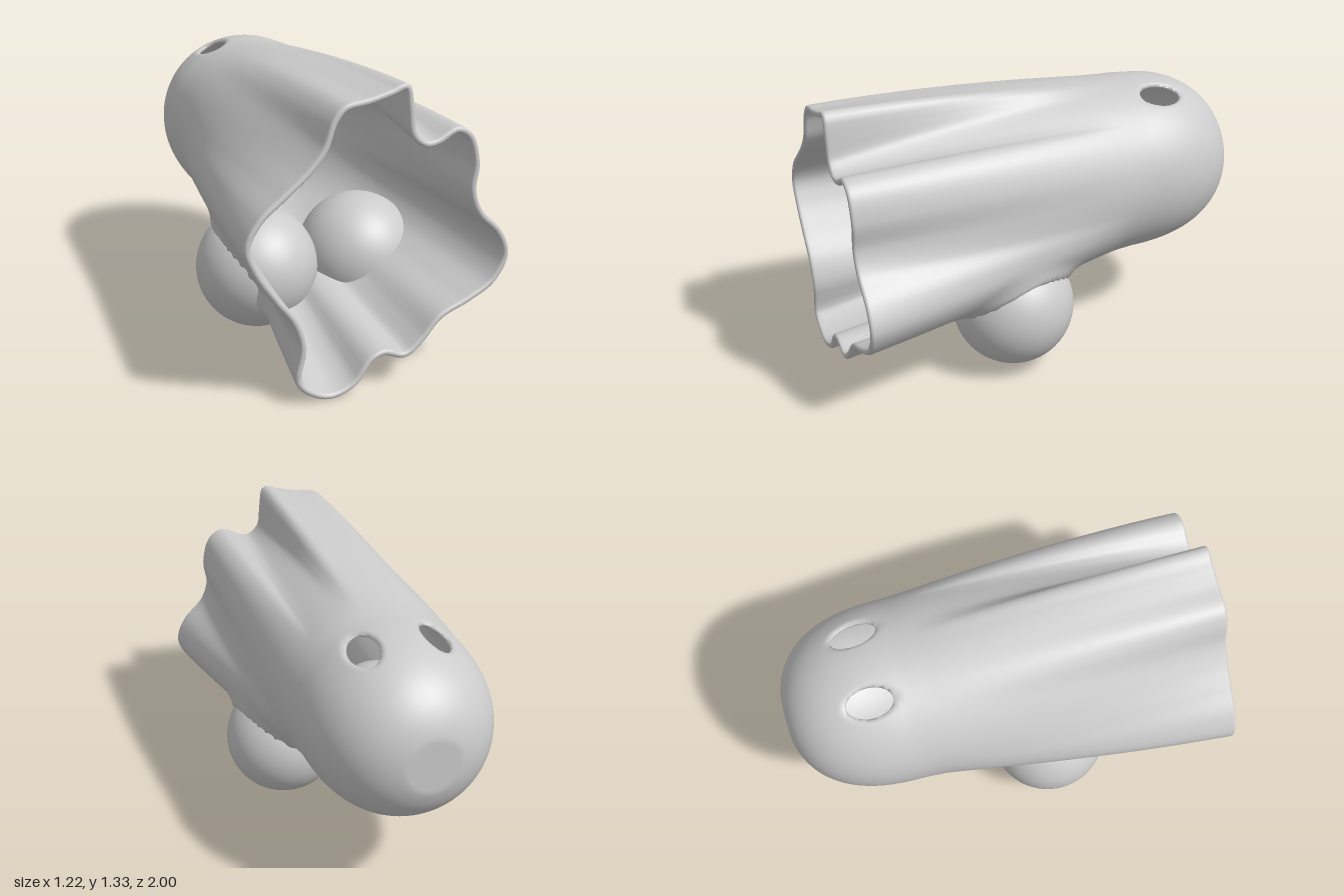
import * as THREE from 'three';
import { mergeVertices } from 'three/addons/utils/BufferGeometryUtils.js';

const CY = 0.81;        // height of the body axis
const HALF = 0.014;     // half the cloth thickness
const COLS = 240;
const BALLS = [[0.27, 0.31, 0.205], [-0.25, 0.31, 0.205]];
const BALL_R = 0.285;

// Wavy outline of the open hem, seen from the front
const HEM = [
  [.09, 1.333], [.02, 1.315], [-.08, 1.29], [-.19, 1.27], [-.235, 1.22], [-.28, 1.105], [-.35, 1.02],
  [-.455, .93], [-.56, .84], [-.613, .735], [-.58, .63], [-.49, .49], [-.40, .365], [-.365, .24],
  [-.387, .10], [-.33, .035], [-.23, 0], [-.12, .04], [-.05, .13], [.015, .155], [.12, .125],
  [.20, .18], [.29, .275], [.43, .335], [.55, .405], [.61, .52], [.57, .63], [.47, .735],
  [.43, .84], [.44, .965], [.40, 1.09], [.335, 1.125], [.25, 1.085], [.19, 1.08], [.13, 1.13], [.11, 1.245],
];

// Hem radius as a function of the angle from straight up towards +x
function makeHemRadius() {
  const curve = new THREE.CatmullRomCurve3(HEM.map(([x, y]) => new THREE.Vector3(x, y - CY, 0)), true);
  const polar = curve.getPoints(1500)
    .map((p) => [(Math.atan2(p.x, p.y) + 2 * Math.PI) % (2 * Math.PI), Math.hypot(p.x, p.y)])
    .sort((a, b) => a[0] - b[0]);
  return (angle) => {
    const a = (angle + 2 * Math.PI) % (2 * Math.PI);
    const k = polar.findIndex((p) => p[0] >= a);
    if (k <= 0) return polar[0][1];
    const [a0, r0] = polar[k - 1], [a1, r1] = polar[k];
    return r0 + (r1 - r0) * (a - a0) / Math.max(a1 - a0, 1e-6);
  };
}

// Round body radius: superelliptic dome, then a slightly flaring tube
function roundRadius(z) {
  if (z > -0.45) return 0.43 + 0.06 * (z + 0.45);
  const t = Math.min(1, (-0.45 - z) / 0.55);
  return 0.43 * Math.pow(1 - Math.pow(t, 2.5), 0.4);
}

// Eye holes as ellipses in angle and z
const eyes = [0.417, -0.417].map((angle) => ({ angle, z: -0.61, ha: 0.165, hz: 0.105 }));

function eyeDistance(eye, angle, z) {
  const da = Math.atan2(Math.sin(angle - eye.angle), Math.cos(angle - eye.angle));
  return { da, dz: z - eye.z, d: Math.hypot(da / eye.ha, (z - eye.z) / eye.hz) };
}

function makeCloth() {
  const hemRadius = makeHemRadius();
  const rows = [];
  for (let i = 0; i < 56; i++) {
    const phi = (1 - i / 56) * Math.PI / 2;
    rows.push(-0.45 - 0.55 * Math.pow(Math.sin(phi), 0.8));
  }
  for (let i = 0; i < 40; i++) rows.push(-0.45 + 1.42 * i / 39);
  for (const f of [1, 0.6, 0.3, 0.1, 0]) rows.push(1 - HALF * f);

  // Middle surface, with grid points inside an eye moved to its edge
  const mid = [], round = [], inside = [];
  for (const z0 of rows) {
    for (let j = 0; j < COLS; j++) {
      let angle = 2 * Math.PI * j / COLS, z = z0, nearest = Infinity, hole = false;
      for (const eye of eyes) {
        const { da, dz, d } = eyeDistance(eye, angle, z);
        nearest = Math.min(nearest, Math.max(d, 1));
        if (d < 1) {
          hole = true;
          angle = eye.angle + da / Math.max(d, 1e-3);
          z = eye.z + dz / Math.max(d, 1e-3);
          break;
        }
      }
      const w = Math.pow(Math.max(0, (z + 0.35) / 1.35), 1.1);
      const r = Math.max(0, roundRadius(z) * (1 - w) + hemRadius(angle) * w - HALF);
      mid.push(r * Math.sin(angle), CY + r * Math.cos(angle), Math.max(z, -1 + HALF));
      // Thickness shrinks to nothing in a round edge at the hem and eyes
      const u = Math.min(1, (nearest - 1) / 0.3, (1 - z) / HALF);
      round.push(Math.sqrt(Math.max(0, 1 - (1 - u) ** 2)));
      inside.push(hole);
    }
  }

  const outerIndex = [], innerIndex = [], count = rows.length * COLS;
  for (let i = 0; i < rows.length - 1; i++) {
    for (let j = 0; j < COLS; j++) {
      const k = (j + 1) % COLS;
      const a = i * COLS + j, b = a + COLS, c = (i + 1) * COLS + k, d = i * COLS + k;
      if (inside[a] && inside[b] && inside[c] && inside[d]) continue;
      outerIndex.push(a, b, c, a, c, d);
      innerIndex.push(a + count, c + count, b + count, a + count, d + count, c + count);
    }
  }

  const middle = new THREE.BufferGeometry();
  middle.setAttribute('position', new THREE.Float32BufferAttribute(mid, 3));
  middle.setIndex(outerIndex);
  middle.computeVertexNormals();
  const normals = middle.attributes.normal;
  for (let j = 0; j < COLS; j++) normals.setXYZ(j, 0, 0, -1);

  // Offset outwards and inwards; the outside swells softly around the balls
  const position = [];
  const p = new THREE.Vector3(), n = new THREE.Vector3();
  for (const side of [1, -1]) {
    for (let i = 0; i < count; i++) {
      p.fromArray(mid, i * 3);
      n.fromBufferAttribute(normals, i);
      let offset = side * HALF * round[i];
      if (side > 0) {
        for (const ball of BALLS) {
          const gap = Math.abs(p.distanceTo(new THREE.Vector3(...ball)) - BALL_R);
          offset += 0.035 * Math.max(0, 1 - gap / 0.09) ** 2;
        }
      }
      p.addScaledVector(n, offset);
      position.push(p.x, p.y, p.z);
    }
  }
  const geometry = new THREE.BufferGeometry();
  geometry.setAttribute('position', new THREE.Float32BufferAttribute(position, 3));
  geometry.setIndex(outerIndex.concat(innerIndex));
  const merged = mergeVertices(geometry);
  merged.computeVertexNormals();
  return merged;
}

export function createModel() {
  const group = new THREE.Group();
  group.name = 'ghost';
  const material = new THREE.MeshStandardMaterial({ color: 0xcccccc });

  // Hollow draped sheet with eye holes
  const cloth = new THREE.Mesh(makeCloth(), material);
  cloth.name = 'sheet';
  group.add(cloth);

  // Two balls pushed through the underside
  BALLS.forEach((centre, i) => {
    const ball = new THREE.Mesh(new THREE.SphereGeometry(BALL_R, 64, 40), material);
    ball.position.set(...centre);
    ball.name = i === 0 ? 'leftBall' : 'rightBall';
    group.add(ball);
  });
  return group;
}
